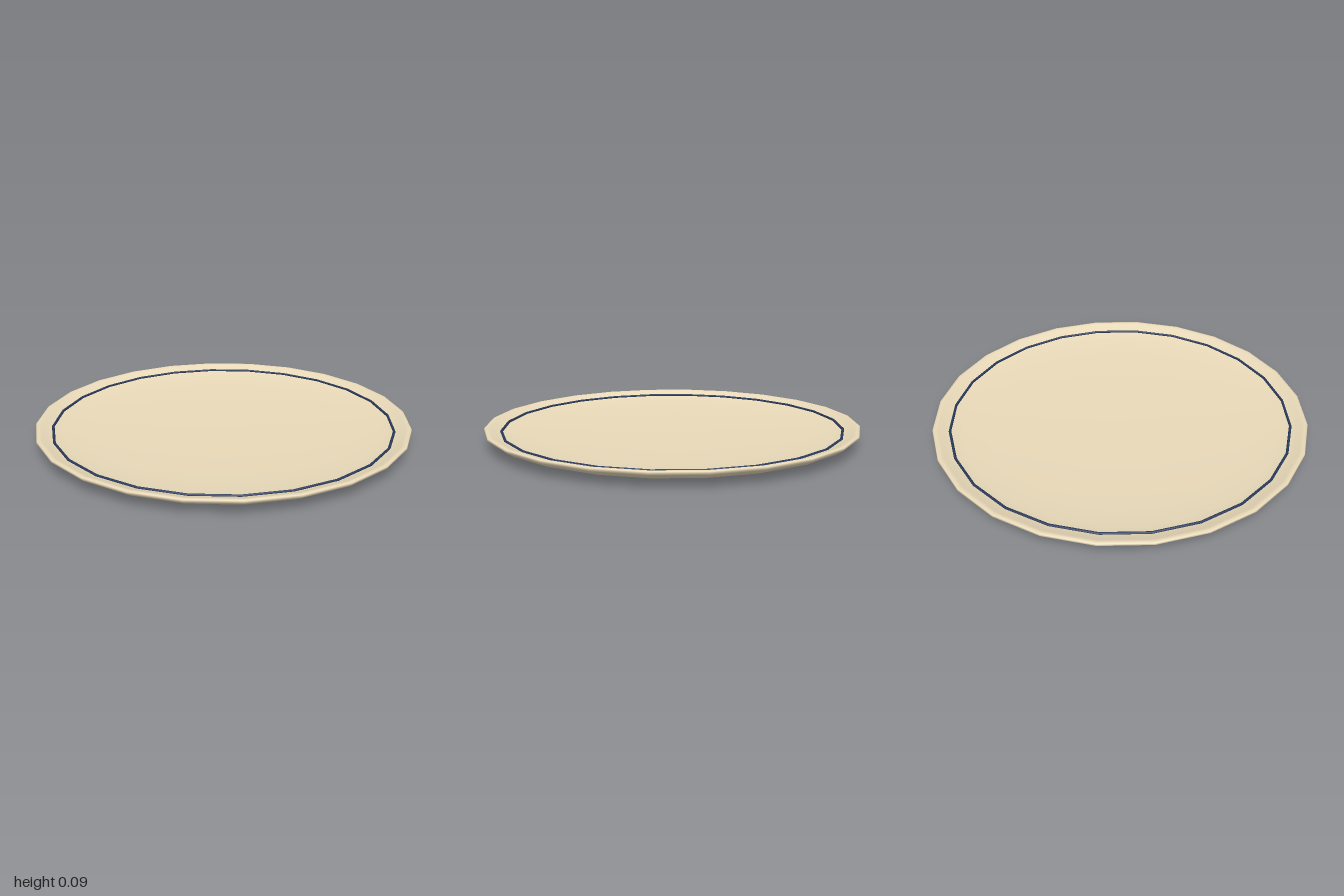
import * as THREE from 'three';

const SIDES = 24;

export function createModel() {
  const group = new THREE.Group();
  const glaze = new THREE.MeshStandardMaterial({ color: 0xe8d9b8 });
  const paint = new THREE.MeshStandardMaterial({ color: 0x2a3a5c });

  // Closed plate section: underside from the centre out, over the lip, back along the dish
  const section = [
    [0, 0], [0.4, 0.004], [0.7, 0.01], [0.84, 0.017], [0.91, 0.028], [0.96, 0.045],
    [0.99, 0.064], [1, 0.074], [0.997, 0.082], [0.985, 0.085], [0.97, 0.081],
    [0.945, 0.07], [0.91, 0.059], [0.85, 0.048], [0.7, 0.035], [0.4, 0.024], [0, 0.02],
  ].map(([r, y]) => new THREE.Vector2(r, y));
  const plate = new THREE.Mesh(new THREE.LatheGeometry(section, SIDES), glaze);
  plate.name = 'plate';
  group.add(plate);

  // Thin painted band, half sunk into the dish
  const band = new THREE.Mesh(new THREE.TorusGeometry(0.91, 0.007, 8, SIDES), paint);
  band.name = 'rimBand';
  band.rotation.x = -Math.PI / 2;
  band.position.y = 0.062;
  group.add(band);

  return group;
}
